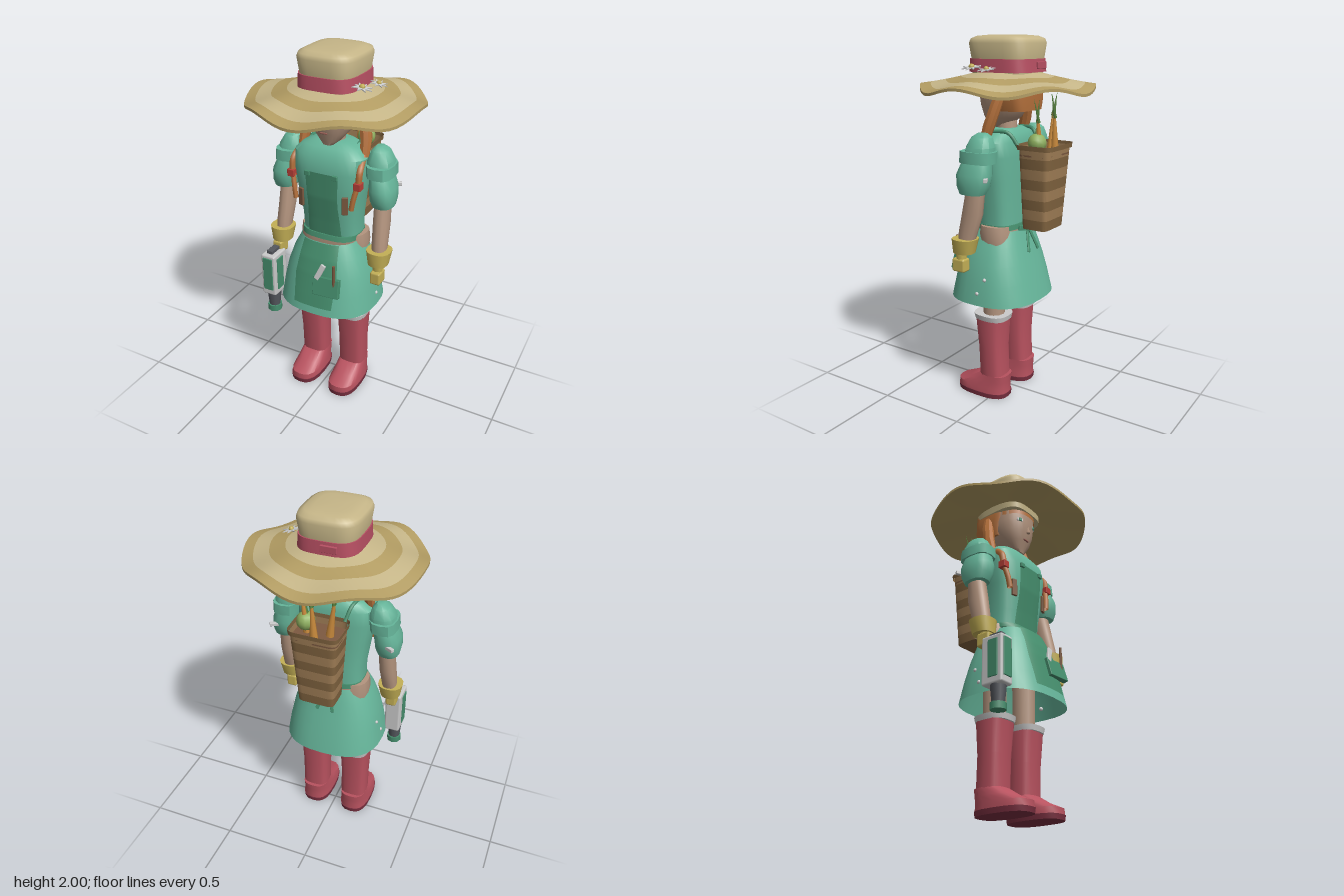
import * as THREE from 'three';
import { toCreasedNormals } from 'three/addons/utils/BufferGeometryUtils.js';
import { ParametricGeometry } from 'three/addons/geometries/ParametricGeometry.js';
import { RoundedBoxGeometry } from 'three/addons/geometries/RoundedBoxGeometry.js';

const mat = (color) => new THREE.MeshStandardMaterial({ color, side: THREE.DoubleSide });
const M = {
  teal: mat(0x66b59a), green: mat(0x468f6e), skin: mat(0xb4957f), boot: mat(0xb8525f), sole: mat(0x7a3040),
  straw: mat(0xc6b688), strawDark: mat(0xb39d63), band: mat(0xb85063), hair: mat(0xb5713c), yellow: mat(0xc4b056),
  wicker: mat(0xa07e56), wickerDark: mat(0x80633f), carrot: mat(0xc98a3c), leaf: mat(0x55803c), turnip: mat(0x8fb060),
  wood: mat(0x7d5a41), dark: mat(0x55585e), red: mat(0xb84038), lips: mat(0x9a6258), pale: mat(0xcccccc),
};

// Rounded cross-sections [y, halfX, halfZ, centreX, centreZ] stacked into a skin
function loft(sections, e = 2.5, capped = true, n = 20, crease = 0.7) {
  const s = sections.map(([y, hx, hz, x = 0, z = 0]) => [y, hx, hz, x, z]);
  if (capped) {
    const a = s[0], b = s[s.length - 1];
    s.unshift([a[0], 0, 0, a[3], a[4]]);
    s.push([b[0], 0, 0, b[3], b[4]]);
  }
  const pw = (t) => Math.sign(t) * Math.pow(Math.abs(t), 2 / e);
  const g = new ParametricGeometry((u, v, p) => {
    const [y, hx, hz, x, z] = s[Math.round(v * (s.length - 1))];
    const a = u * Math.PI * 2;
    p.set(x + hx * pw(Math.cos(a)), y, z - hz * pw(Math.sin(a)));
  }, n, s.length - 1);
  return toCreasedNormals(g, crease);
}

// Panel lying on the front of a loft, widths [y, halfWidth]
function frontPanel(sections, e, rows, off) {
  const L = THREE.MathUtils.lerp;
  return new ParametricGeometry((u, v, p) => {
    const f = v * (rows.length - 1), i = Math.min(rows.length - 2, Math.floor(f));
    const y = L(rows[i][0], rows[i + 1][0], f - i), w = L(rows[i][1], rows[i + 1][1], f - i);
    let k = 0;
    while (k < sections.length - 2 && sections[k + 1][0] < y) k++;
    const a = sections[k], b = sections[k + 1], t = (y - a[0]) / (b[0] - a[0]);
    const hx = L(a[1], b[1], t), hz = L(a[2], b[2], t), x = (u * 2 - 1) * w;
    const z = L(a[4], b[4], t) + hz * Math.pow(1 - Math.pow(Math.min(1, Math.abs(x / hx)), e), 1 / e);
    p.set(x, y, z + off);
  }, 10, 14);
}

const tube = (pts, r, sides = 6) =>
  new THREE.TubeGeometry(new THREE.CatmullRomCurve3(pts.map((p) => new THREE.Vector3(...p))), 12, r, sides);

export function createModel() {
  const root = new THREE.Group();
  const add = (name, geo, m, pos = [0, 0, 0], rot = [0, 0, 0], parent = root) => {
    const mesh = new THREE.Mesh(geo, m);
    mesh.name = name;
    mesh.position.set(...pos);
    mesh.rotation.set(...rot);
    parent.add(mesh);
  };
  const box = (w, h, d, r = 0.003) => new RoundedBoxGeometry(w, h, d, 1, r);

  // Hat: wavy striped brim, crown, ribbon
  const brimY = (r, a) => {
    const s = Math.max(0, (r - 0.13) / 0.33);
    return 1.825 - 0.088 * Math.pow(s, 0.9) + 0.018 * s * s * Math.cos(6 * a);
  };
  const ring = (r0, r1, d0 = 0, d1 = 0) => new ParametricGeometry((u, v, p) => {
    const a = u * Math.PI * 2, r = r0 + (r1 - r0) * v;
    p.set(r * Math.cos(a), brimY(r, a) + d0 + (d1 - d0) * v, r * Math.sin(a));
  }, 72, 4);
  const radii = [0.13, 0.245, 0.325, 0.405, 0.462];
  for (let i = 0; i < 4; i++) add('brimStripe', ring(radii[i], radii[i + 1]), i % 2 ? M.strawDark : M.straw);
  add('brimUnderside', ring(0.462, 0.1, -0.014, -0.014), M.strawDark);
  add('brimEdge', ring(0.462, 0.462, 0, -0.014), M.strawDark);
  add('hatCrown', loft([[1.76, 0.145, 0.165], [1.88, 0.152, 0.172], [1.96, 0.163, 0.183], [1.982, 0.155, 0.175],
    [1.995, 0.13, 0.145], [2, 0.09, 0.1]], 3.6, true, 32, 0.9), M.straw);
  add('hatRibbon', loft([[1.815, 0.162, 0.182], [1.882, 0.158, 0.178]], 3.6, true, 32), M.band);
  add('ribbonKnot', box(0.085, 0.035, 0.014), M.band, [-0.035, 1.85, -0.183]);

  // Hat flowers: eight-pointed stars with a round heart
  const star = new THREE.Shape();
  for (let i = 0; i < 16; i++) {
    const r = i % 2 ? 0.022 : 0.052, a = (i * Math.PI) / 8;
    star[i ? 'lineTo' : 'moveTo'](r * Math.cos(a), r * Math.sin(a));
  }
  star.closePath();
  const starGeo = new THREE.ExtrudeGeometry(star, { depth: 0.005, bevelEnabled: false });
  for (const [x, y, z, s] of [[0.225, 1.832, -0.02, 0.9], [0.19, 1.838, 0.095, 1.05]]) {
    const flower = new THREE.Group();
    flower.name = 'hatFlower';
    flower.position.set(x, y, z);
    flower.rotation.set(-Math.PI / 2, 0.22, 0);
    flower.scale.setScalar(s);
    root.add(flower);
    add('petals', starGeo, M.pale, [0, 0, 0], [0, 0, 0], flower);
    add('flowerHeart', new THREE.SphereGeometry(0.015, 8, 6), M.yellow, [0, 0, 0.006], [0, 0, 0], flower);
  }

  // Head, face and hair
  const head = [[1.515, 0.03, 0.03, 0, 0.075], [1.535, 0.055, 0.06, 0, 0.05], [1.58, 0.09, 0.1, 0, 0.03],
    [1.64, 0.115, 0.125, 0, 0.02], [1.7, 0.124, 0.138, 0, 0.015], [1.79, 0.125, 0.14, 0, 0.01]];
  add('head', loft(head, 2.3, true, 24, 1.2), M.skin);
  add('neck', new THREE.CylinderGeometry(0.05, 0.06, 0.16, 12), M.skin, [0, 1.52, 0.005]);
  add('nose', new THREE.ConeGeometry(0.014, 0.05, 4), M.skin, [0, 1.655, 0.15]);
  add('mouth', box(0.042, 0.009, 0.012, 0.003), M.lips, [0, 1.588, 0.132]);
  add('backHair', loft([[1.62, 0.125, 0.098, 0, -0.062], [1.68, 0.138, 0.105, 0, -0.06], [1.74, 0.14, 0.115, 0, -0.05],
    [1.8, 0.135, 0.12, 0, -0.045]], 4, true, 24), M.hair);
  add('fringe', frontPanel(head, 2.3, [[1.735, 0.122], [1.79, 0.122]], 0.008), M.hair);

  // Torso with bib, hips and skirt with apron
  const torso = [[1.005, 0.163, 0.11, 0, 0.015], [1.1, 0.165, 0.115, 0, 0.02], [1.25, 0.185, 0.125, 0, 0.03],
    [1.38, 0.205, 0.128, 0, 0.032], [1.46, 0.205, 0.118, 0, 0.025], [1.5, 0.165, 0.095, 0, 0.015], [1.525, 0.1, 0.065, 0, 0.005]];
  const skirt = [[0.585, 0.28, 0.255, 0, 0.035], [0.7, 0.262, 0.228, 0, 0.036], [0.8, 0.24, 0.202, 0, 0.038],
    [0.9, 0.205, 0.172, 0, 0.037], [0.98, 0.165, 0.145, 0, 0.03]];
  add('bodice', loft(torso, 3, true, 28), M.teal);
  add('bib', frontPanel(torso, 3, [[1.0, 0.1], [1.2, 0.088], [1.38, 0.095]], 0.007), M.green);
  add('hips', loft([[0.88, 0.19, 0.1], [0.95, 0.198, 0.1], [1.008, 0.192, 0.095]], 3), M.skin);
  add('skirt', loft(skirt, 2.6, false, 32), M.teal);
  add('apron', frontPanel(skirt, 2.6, [[0.63, 0.115], [0.8, 0.125], [0.98, 0.105]], 0.007), M.green);
  add('waistband', loft([[0.985, 0.166, 0.128, 0, 0.02], [1.012, 0.166, 0.122, 0, 0.018]], 3), M.green);
  add('apronPocket', box(0.155, 0.105, 0.03), M.green, [0.078, 0.765, 0.258], [-0.25, 0, 0.05]);
  add('trowel', box(0.03, 0.095, 0.014), M.pale, [0.035, 0.842, 0.25], [-0.2, 0, -0.4]);
  add('toolHandle', new THREE.CylinderGeometry(0.008, 0.008, 0.13, 6), M.wood, [0.125, 0.845, 0.262]);

  // Back bow with hanging ribbons, and specks on the skirt
  add('bowKnot', box(0.04, 0.03, 0.03), M.green, [0, 0.985, -0.125]);
  for (const s of [-1, 1]) {
    add('bowLoop', box(0.075, 0.028, 0.014), M.green, [s * 0.045, 0.99, -0.125], [0, 0, s * 0.25]);
    add('bowTail', box(0.02, 0.13, 0.008), M.green, [s * 0.028, 0.92, -0.15], [0.3, 0, s * 0.3]);
    add('skirtSpeck', new THREE.SphereGeometry(0.012, 8, 6), M.pale, [s * 0.265, 0.65, 0.025]);
    add('skirtSpeck', new THREE.SphereGeometry(0.01, 8, 6), M.pale, [s * 0.253, 0.73, -0.015]);
  }

  for (const s of [-1, 1]) {
    // Eyes, pigtails and bib fittings
    add('eye', box(0.04, 0.02, 0.014), M.pale, [s * 0.06, 1.7, 0.134], [0, s * 0.35, 0]);
    add('iris', box(0.02, 0.02, 0.014), M.green, [s * 0.06, 1.7, 0.138], [0, s * 0.35, 0]);
    add('pigtail', loft([[1.455, 0.022, 0.026, s * 0.182, 0.03], [1.55, 0.03, 0.032, s * 0.175, 0.0],
      [1.66, 0.028, 0.032, s * 0.15, -0.03], [1.74, 0.018, 0.025, s * 0.125, -0.05]], 2.5, true, 8, 0.4), M.hair);
    add('pigtailLock', tube([[s * 0.18, 1.47, 0.03], [s * 0.195, 1.41, 0.11], [s * 0.195, 1.34, 0.125]], 0.018), M.hair);
    add('hairTie', box(0.04, 0.04, 0.045), M.red, [s * 0.195, 1.335, 0.125]);
    add('lockEnd', tube([[s * 0.19, 1.33, 0.125], [s * 0.175, 1.26, 0.14], [s * 0.165, 1.2, 0.145]], 0.015), M.hair);
    add('strapEnd', box(0.032, 0.1, 0.014), M.wood, [s * 0.13, 1.215, 0.147], [0, s * 0.3, 0]);
    add('bibButton', box(0.03, 0.026, 0.016), M.green, [s * 0.08, 1.37, 0.166]);

    // Puffed sleeves in two tiers with a band, and arms
    add('upperSleeve', loft([[1.4, 0.07, 0.08, s * 0.265, 0], [1.45, 0.068, 0.075, s * 0.26, -0.005],
      [1.5, 0.045, 0.055, s * 0.255, -0.01], [1.52, 0.02, 0.028, s * 0.25, -0.012]], 2.6, true, 10), M.teal);
    add('sleeveBand', loft([[1.37, 0.07, 0.098, s * 0.272, 0.005], [1.43, 0.07, 0.098, s * 0.268, 0.002]], 2.8, true, 12), M.teal);
    add('lowerSleeve', loft([[1.21, 0.056, 0.07, s * 0.295, 0.022], [1.25, 0.066, 0.09, s * 0.292, 0.02],
      [1.31, 0.068, 0.098, s * 0.288, 0.018], [1.37, 0.058, 0.085, s * 0.275, 0.01]], 2.5, true, 14, 0.9), M.teal);
    add('sleeveTrim', box(0.08, 0.02, 0.02), M.pale, [s * 0.31, 1.295, -0.07], [0, s * 0.5, 0]);
    add('arm', loft([[0.9, 0.036, 0.042, s * 0.3, 0.075], [1.0, 0.04, 0.052, s * 0.295, 0.055],
      [1.1, 0.042, 0.058, s * 0.29, 0.03], [1.24, 0.042, 0.05, s * 0.285, 0.01]], 2.4, true, 12, 1), M.skin);
    add('gloveCuff', loft([[0.885, 0.054, 0.058, s * 0.3, 0.08], [0.965, 0.068, 0.07, s * 0.3, 0.072]], 2.4, true, 14), M.yellow);
    add('gloveWrist', new THREE.CylinderGeometry(0.03, 0.028, 0.05, 8), M.yellow, [s * 0.305, 0.865, 0.095]);
    add('gloveHand', box(0.06, 0.075, 0.08, 0.012), M.yellow, [s * 0.306, s > 0 ? 0.815 : 0.845, 0.1]);

    // Legs and boots
    const x = s * 0.125;
    add('leg', new THREE.CylinderGeometry(0.065, 0.06, 0.4, 12), M.skin, [x, 0.65, 0.01]);
    add('sockTrim', loft([[0.47, 0.086, 0.096, x, 0.015], [0.5, 0.092, 0.102, x, 0.015]], 2.8), M.pale);
    add('bootShaft', loft([[0.1, 0.076, 0.072, x, 0.005], [0.3, 0.078, 0.072, x, 0.012], [0.475, 0.086, 0.086, x, 0.015]], 3.2, true, 16), M.boot);
    add('bootFoot', loft([[0.025, 0.088, 0.16, x, 0.077], [0.06, 0.086, 0.158, x, 0.077], [0.095, 0.08, 0.118, x, 0.035],
      [0.135, 0.076, 0.086, x, 0]], 2.7), M.boot);
    add('bootSole', loft([[0, 0.088, 0.16, x, 0.077], [0.027, 0.091, 0.164, x, 0.077]], 2.7), M.sole);

    // Basket shoulder strap
    add('basketStrap', tube([[s * 0.1, 1.44, -0.13], [s * 0.12, 1.51, -0.08], [s * 0.14, 1.515, 0.01]], 0.01), M.green);
  }

  // Watering tool held in the right hand
  const tool = new THREE.Group();
  tool.name = 'wateringTool';
  tool.position.set(-0.308, 0, 0.175);
  root.add(tool);
  add('toolBody', box(0.09, 0.26, 0.13, 0.012), M.pale, [0, 0.71, 0], [0, 0, 0], tool);
  add('toolFrontPanel', box(0.06, 0.205, 0.01), M.green, [0, 0.72, 0.066], [0, 0, 0], tool);
  for (const s of [-1, 1]) add('toolSidePanel', box(0.01, 0.2, 0.06), M.green, [s * 0.045, 0.715, 0.01], [0, 0, 0], tool);
  add('toolGrip', box(0.035, 0.03, 0.12), M.dark, [0, 0.845, -0.02], [0, 0, 0], tool);
  add('toolNeck', new THREE.CylinderGeometry(0.042, 0.032, 0.1, 10), M.dark, [0, 0.535, 0.01], [0, 0, 0], tool);
  add('toolNozzle', new THREE.CylinderGeometry(0.042, 0.042, 0.036, 8), M.green, [0, 0.474, 0.01], [0, 0, 0], tool);

  // Striped tapering basket, open at the top
  const basketAt = (t) => [1.005 + 0.435 * t, 0.1 + 0.028 * t, 0.074 + 0.02 * t, 0, -0.222 - 0.008 * t];
  for (let i = 0; i < 8; i++)
    add('basketStripe', loft([basketAt(i / 8), basketAt((i + 1) / 8)], 7, false, 24), i % 2 ? M.wicker : M.wickerDark);
  add('basketBottom', loft([basketAt(0), basketAt(0.01)], 7, true, 24), M.wickerDark);
  add('basketRim', loft([[1.43, 0.135, 0.104, 0, -0.23], [1.455, 0.137, 0.106, 0, -0.23]], 7, false, 24), M.wickerDark);
  add('basketFill', loft([basketAt(0.9), basketAt(0.92)], 7, true, 24), M.wood);

  // Harvest: carrots with tops, and a turnip
  for (const [x, z, tilt, h] of [[-0.06, -0.23, 0.12, 0.2], [0.0, -0.29, -0.05, 0.2], [0.06, -0.235, -0.12, 0.18]]) {
    const carrot = new THREE.Group();
    carrot.name = 'carrot';
    carrot.position.set(x, 1.41, z);
    carrot.rotation.z = tilt;
    root.add(carrot);
    add('carrotRoot', new THREE.CylinderGeometry(0.006, 0.022, h, 7), M.carrot, [0, h / 2, 0], [0, 0, 0], carrot);
    for (const s of [-1, 1])
      add('carrotTop', new THREE.ConeGeometry(0.009, 0.13, 5), M.leaf, [s * 0.01, h + 0.045, 0], [s * 0.08, 0, -s * 0.15], carrot);
  }
  add('turnip', new THREE.SphereGeometry(0.05, 10, 8), M.turnip, [0.07, 1.465, -0.225]);
  add('turnipTop', new THREE.ConeGeometry(0.02, 0.06, 6), M.leaf, [0.07, 1.53, -0.225]);
  return root;
}
